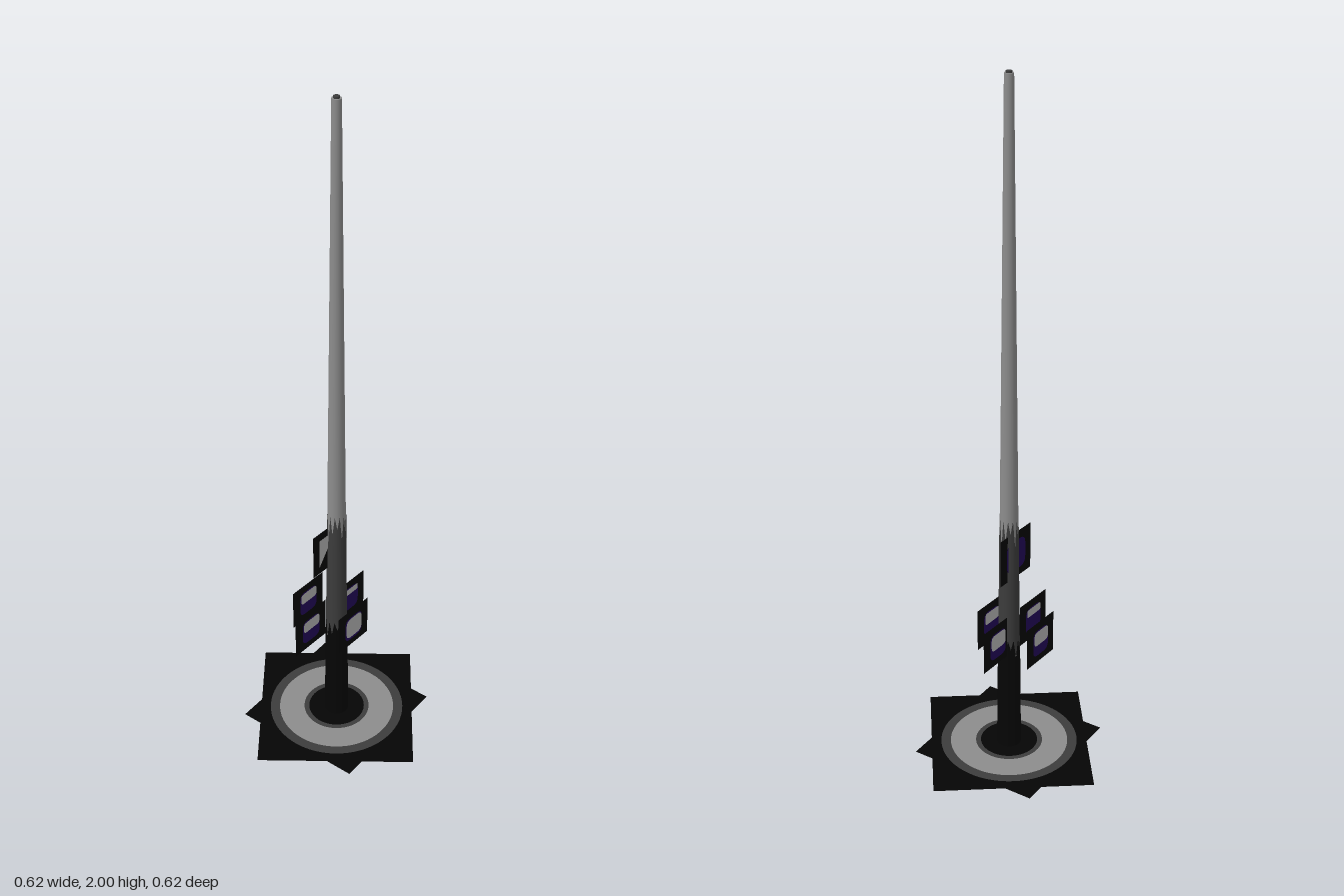
import * as THREE from 'three';

const mat = (name, color) => {
  const m = new THREE.MeshStandardMaterial({ color, side: THREE.DoubleSide });
  m.name = name;
  return m;
};

export function createModel() {
  const black = mat('black', 0x050505);
  const darkGrey = mat('darkGrey', 0x3c3c3c);
  const grey = mat('grey', 0x8c8c8c);
  const paleGrey = mat('paleGrey', 0xb4b4b4);
  const violet = mat('violet', 0x220758);

  const root = new THREE.Group();
  const add = (name, geo, material, parent = root) => {
    const m = new THREE.Mesh(geo, material);
    m.name = name;
    parent.add(m);
    return m;
  };

  // Tapering pole, with two darker sleeves that end in splinters
  const radiusAt = y => 0.033 - 0.021 * (y - 0.07) / 1.93;
  const sleeve = (name, y0, y1, grow, tooth, material) => {
    const h = y1 - y0;
    const geo = new THREE.CylinderGeometry(radiusAt(y1) + grow, radiusAt(y0) + grow, h, 24, 1, tooth > 0);
    geo.translate(0, y0 + h / 2, 0);
    const p = geo.attributes.position;
    for (let i = 0; tooth > 0 && i <= 24; i++) {
      if (i % 2) p.setY(i, y1 - tooth * (1 + (i % 3) * 0.5));
    }
    return add(name, geo, material);
  };
  sleeve('pole', 0.07, 1.995, 0, 0, grey);
  sleeve('middleSleeve', 0.4, 0.82, 0.0008, 0.04, darkGrey);
  sleeve('lowerSleeve', 0.068, 0.45, 0.0016, 0.03, black);
  add('poleTip', new THREE.CylinderGeometry(0.008, 0.008, 0.006, 12), darkGrey).position.y = 1.997;
  add('stem', new THREE.CylinderGeometry(0.01, 0.01, 0.07, 12), black).position.y = 0.035;

  // Flat base: two crossed squares
  const baseY = 0.098;
  const flat = (name, geo, material, lift, turn = 0) => {
    geo.rotateX(-Math.PI / 2).rotateY(turn).translate(0, baseY + lift, 0);
    add(name, geo, material);
  };
  flat('largeBaseSquare', new THREE.CircleGeometry(0.311, 4), black, 0, -0.097);
  flat('smallBaseSquare', new THREE.CircleGeometry(0.269, 4), black, -0.001, -0.733);

  // Rings on the upper side
  flat('outerRing', new THREE.RingGeometry(0.166, 0.193, 64), darkGrey, 0.002);
  flat('broadRing', new THREE.RingGeometry(0.094, 0.166, 64), grey, 0.002);
  flat('innerRing', new THREE.RingGeometry(0.08, 0.094, 64), darkGrey, 0.002);

  // Ring and arcs on the underside
  flat('undersideRing', new THREE.RingGeometry(0.05, 0.085, 48), darkGrey, -0.003);
  for (let i = 0; i < 4; i++) {
    flat('undersideArc', new THREE.RingGeometry(0.125, 0.165, 12, 1, -0.5, 1), darkGrey, -0.003,
      -0.64 + i * Math.PI / 2);
  }

  // Rounded patch outline
  const patch = (w, h) => {
    const s = new THREE.Shape();
    const a = w / 2, b = h / 2, r = Math.min(a, b) * 0.6;
    s.moveTo(-a + r, -b).lineTo(a - r, -b).quadraticCurveTo(a, -b, a, -b + r);
    s.lineTo(a, b - r).quadraticCurveTo(a, b, a - r, b);
    s.lineTo(-a + r, b).quadraticCurveTo(-a, b, -a, b - r);
    s.lineTo(-a, -b + r).quadraticCurveTo(-a, -b, -a + r, -b);
    return new THREE.ShapeGeometry(s, 6);
  };

  // Upright panels, all facing front, carrying patches on both sides
  const panel = (name, x, y, z, size) => {
    const g = new THREE.Group();
    g.name = name;
    g.position.set(x, y, z);
    root.add(g);
    add('panelPlate', new THREE.PlaneGeometry(size, size), black, g);
    return g;
  };

  // Four lower panels around the pole; last two values are the pale share front and back
  const cx = -0.0125, cz = -0.0125, ring = 0.083, patchHeight = 0.08;
  const lower = [
    ['leftPanel', 1, 0, 0.25, 0.6],
    ['rightPanel', -1, 0, 0.45, 0.3],
    ['frontPanel', 0, 1, 0.85, 0.45],
    ['backPanel', 0, -1, 0.45, 0.55],
  ];
  for (const [name, dx, dz, frontPale, backPale] of lower) {
    const g = panel(name, cx + dx * ring, 0.463, cz + dz * ring, 0.125);
    for (const [s, share] of [[1, frontPale], [-1, backPale]]) {
      add('violetPatch', patch(0.07, patchHeight), violet, g).position.z = s * 0.002;
      const h = patchHeight * share;
      add('palePatch', patch(0.064, h), paleGrey, g).position.set(0, (patchHeight - h) / 2 - 0.002, s * 0.004);
    }
  }

  // Upper panel: pale wedges in front, violet patch behind
  const upper = panel('upperPanel', cx, 0.704, cz, 0.138);
  const wedge = pts => new THREE.ShapeGeometry(new THREE.Shape(pts.map(p => new THREE.Vector2(...p))));
  add('paleWedge', wedge([[-0.046, -0.046], [-0.005, 0.01], [-0.005, 0.046], [-0.046, 0.046]]), paleGrey, upper)
    .position.z = 0.002;
  add('greyWedge', wedge([[0.05, -0.046], [0.05, 0.046], [0.02, 0.01], [0.02, -0.046]]), grey, upper)
    .position.z = 0.002;
  add('violetPatch', patch(0.085, 0.09), violet, upper).position.z = -0.002;

  return root;
}
